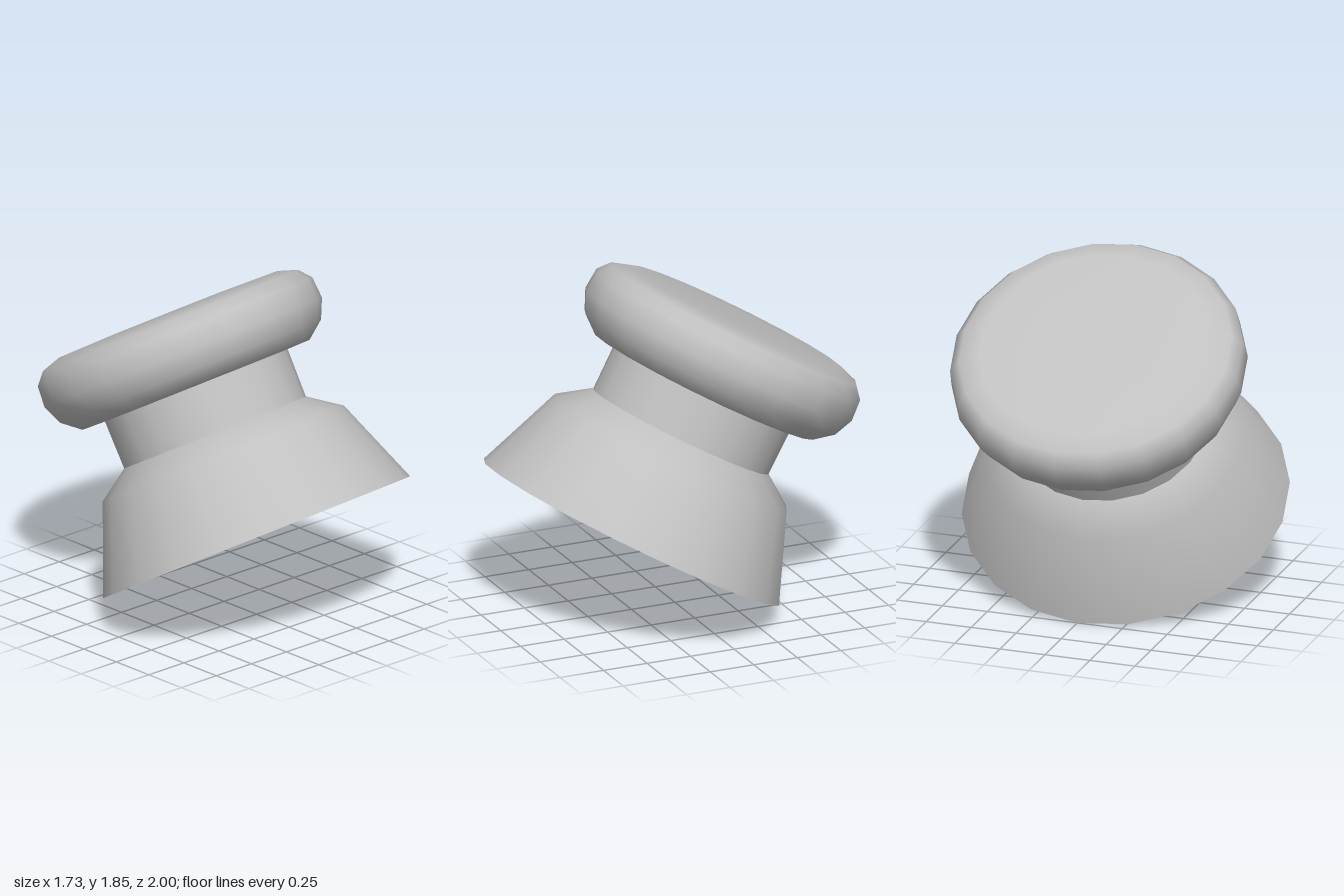
import * as THREE from 'three';

export function createModel() {
  const model = new THREE.Group();
  model.name = 'tiltedSuctionKnob';
  const grey = new THREE.MeshStandardMaterial({ color: 0xc0c0c0, side: THREE.DoubleSide });
  grey.name = 'plain grey';

  // All parts turn around one leaning axis, starting at the rim of the cup
  const body = new THREE.Group();
  body.name = 'body';
  body.position.set(0, 0.435, 0.25);
  body.rotation.set(-Math.PI / 6, 0, 0.04);
  model.add(body);

  const turned = (name, profile) => {
    const points = profile.map(([r, h]) => new THREE.Vector2(r, h));
    const mesh = new THREE.Mesh(new THREE.LatheGeometry(points, 20), grey);
    mesh.name = name;
    body.add(mesh);
  };

  // Open, thin-walled cup with a sloping shoulder
  turned('cup', [[0.866, 0], [0.68, 0.472], [0.512, 0.59]]);

  // Straight hollow neck
  turned('neck', [[0.512, 0.59], [0.515, 0.855]]);

  // Rounded knob with a nearly flat top
  turned('knob', [
    [0.515, 0.855], [0.64, 0.858], [0.735, 0.935], [0.782, 1.04],
    [0.774, 1.156], [0.72, 1.22], [0.615, 1.255], [0.3, 1.262], [0, 1.263],
  ]);

  return model;
}
